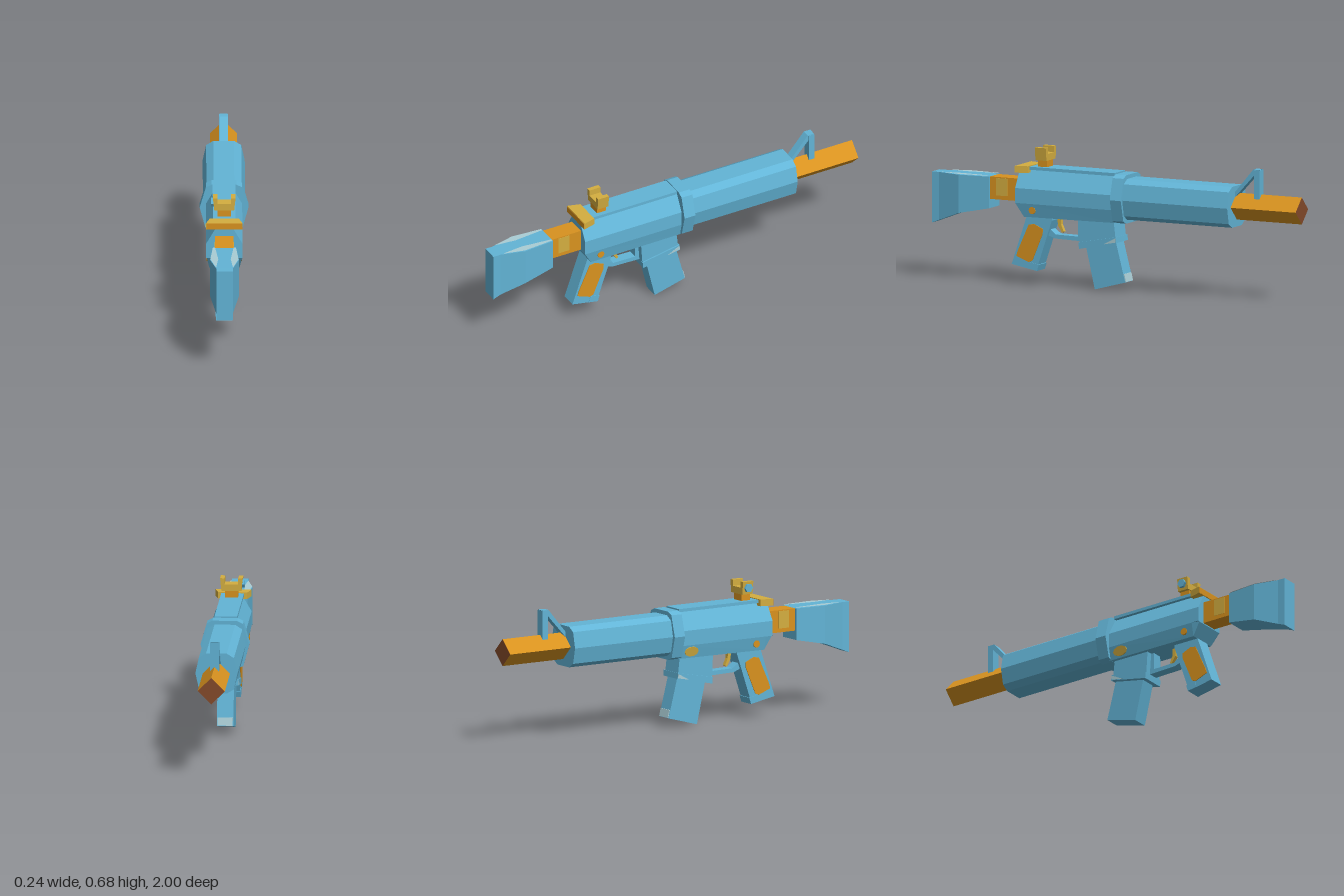
import * as THREE from 'three';

const mat = (name, color, side = THREE.FrontSide) => {
  const m = new THREE.MeshStandardMaterial({ color, flatShading: true, side });
  m.name = name;
  return m;
};

// Outline given as the +x half from bottom to top, mirrored to a closed loop
const mirrorLoop = (half) => [...half, ...half.map(([x, y]) => [-x, y]).reverse()];

// Skin between cross-sections { z, half }, ordered by rising z, with flat end caps
function loft(sections) {
  const rings = sections.map(({ z, half }) => mirrorLoop(half).map(([x, y]) => [x, y, z]));
  const pos = [];
  const tri = (a, b, c) => pos.push(...a, ...b, ...c);
  const n = rings[0].length;
  for (let s = 0; s < rings.length - 1; s++) {
    const a = rings[s], b = rings[s + 1];
    for (let i = 0; i < n; i++) {
      const j = (i + 1) % n;
      tri(a[i], a[j], b[j]);
      tri(a[i], b[j], b[i]);
    }
  }
  const first = rings[0], last = rings[rings.length - 1];
  for (let i = 1; i < n - 1; i++) {
    tri(first[0], first[i + 1], first[i]);
    tri(last[0], last[i], last[i + 1]);
  }
  const g = new THREE.BufferGeometry();
  g.setAttribute('position', new THREE.Float32BufferAttribute(pos, 3));
  g.computeVertexNormals();
  return g;
}

const shapeOf = (pts) => new THREE.Shape(pts.map(([a, b]) => new THREE.Vector2(a, b)));

// Side profile in (z, y), given a width centred on x = 0
function sideProfile(pts, width) {
  const g = new THREE.ExtrudeGeometry(shapeOf(pts), { depth: width, bevelEnabled: false });
  return g.translate(0, 0, -width / 2).rotateY(-Math.PI / 2);
}

// Front outline in (x, y), running from z0 to z1
function frontProfile(pts, z0, z1) {
  const g = new THREE.ExtrudeGeometry(shapeOf(pts), { depth: z1 - z0, bevelEnabled: false });
  return g.translate(0, 0, z0);
}

const box = (w, h, d, x, y, z) => new THREE.BoxGeometry(w, h, d).translate(x, y, z);

export function createModel() {
  const group = new THREE.Group();
  const blue = mat('blue', 0x62b4d6);
  const orange = mat('orange', 0xd8921f);
  const gold = mat('gold', 0xd4ae40);
  const pale = mat('paleBlue', 0xaacdd5, THREE.DoubleSide);
  const brown = mat('darkBrown', 0x844a2a);
  const add = (name, geometry, material) => {
    const m = new THREE.Mesh(geometry, material);
    m.name = name;
    group.add(m);
    return m;
  };

  // Stock, widest in the middle and narrowed to the butt
  const stockPart = (z, w, bottom, top) => ({ z, half: [[w, bottom], [w, top]] });
  add('stock', loft([
    stockPart(0.68, 0.057, 0.36, 0.515), stockPart(0.84, 0.07, 0.328, 0.516),
    stockPart(0.96, 0.04, 0.283, 0.517), stockPart(1.0, 0.04, 0.267, 0.517),
  ]), blue);
  for (const s of [-1, 1]) {
    const worn = shapeOf([[0.045, 0.685], [0.056, 0.685], [0.068, 0.84], [0.041, 0.95], [0.03, 0.84]]
      .map(([x, z]) => [s * x, z]));
    add('stockWear', new THREE.ShapeGeometry(worn).rotateX(Math.PI / 2).translate(0, 0.5195, 0), pale);
  }

  // Neck between stock and receiver
  add('neck', box(0.09, 0.11, 0.2, 0, 0.46, 0.6), orange);
  add('neckPatch', box(0.094, 0.085, 0.06, 0, 0.467, 0.615), gold);

  // Receiver with a cut-away lower rear corner, and its top rail
  const receiverHalf = (bw, by) => [[bw, by], [0.088, 0.402], [0.088, 0.475], [0.036, 0.565]];
  add('receiver', loft([
    { z: -0.02, half: receiverHalf(0.073, 0.338) },
    { z: 0.48, half: receiverHalf(0.073, 0.335) },
    { z: 0.52, half: receiverHalf(0.08, 0.4) },
  ]), blue);
  add('topRail', box(0.11, 0.015, 0.52, 0, 0.5715, 0.255), blue);
  add('receiverPin', new THREE.CylinderGeometry(0.018, 0.018, 0.17, 10)
    .rotateZ(Math.PI / 2).translate(0, 0.37, 0.43), orange);
  add('receiverPatch', new THREE.CylinderGeometry(0.025, 0.025, 0.008, 10)
    .rotateZ(Math.PI / 2).scale(1, 1, 1.6).rotateZ(0.2).translate(-0.081, 0.37, 0.05), gold);

  // Rear bar, wider at the back
  add('rearBar', loft([
    { z: 0.46, half: [[0.07, 0.55], [0.07, 0.583]] },
    { z: 0.523, half: [[0.088, 0.55], [0.088, 0.583]] },
  ]), gold);
  add('rearBarFace', box(0.174, 0.03, 0.004, 0, 0.5655, 0.523), orange);

  // Collar and faceted handguard
  add('collar', frontProfile(mirrorLoop(
    [[0.06, 0.337], [0.09, 0.35], [0.118, 0.455], [0.088, 0.56], [0.06, 0.574]]), -0.072, -0.012), blue);
  add('handguard', frontProfile(mirrorLoop(
    [[0.05, 0.355], [0.085, 0.377], [0.102, 0.455], [0.085, 0.533], [0.05, 0.555]]), -0.645, -0.06), blue);

  // Four-sided barrel standing on edge, with a dark muzzle
  add('barrel', new THREE.CylinderGeometry(0.066, 0.066, 0.4, 4)
    .rotateX(Math.PI / 2).translate(0, 0.455, -0.8), [orange, orange, brown]);

  // Front sight: upright post and sloping brace
  add('frontSightPost', box(0.044, 0.145, 0.03, 0, 0.568, -0.765), blue);
  add('frontSightBrace', sideProfile(
    [[-0.64, 0.495], [-0.64, 0.52], [-0.745, 0.643], [-0.78, 0.643], [-0.755, 0.62]], 0.04), blue);

  // U-shaped rear sight on its foot, with a side knob
  add('sightFoot', box(0.064, 0.045, 0.05, 0, 0.597, 0.4), orange);
  add('sightFork', frontProfile(mirrorLoop(
    [[0.048, 0.612], [0.055, 0.675], [0.033, 0.675], [0.033, 0.645]]), 0.37, 0.43), gold);
  add('sightKnob', new THREE.CylinderGeometry(0.022, 0.022, 0.02, 6)
    .rotateZ(Math.PI / 2).translate(-0.054, 0.644, 0.4), blue);

  // Grip, its base lip and side panels
  add('grip', sideProfile(
    [[0.478, 0.345], [0.564, 0.094], [0.43, 0.069], [0.345, 0.32], [0.345, 0.345]], 0.08), blue);
  add('gripLip', sideProfile(
    [[0.475, 0.078], [0.425, 0.069], [0.415, 0.1], [0.465, 0.11]], 0.084), blue);
  add('gripPanels', sideProfile(
    [[0.47, 0.293], [0.44, 0.298], [0.393, 0.277], [0.395, 0.25], [0.45, 0.118],
      [0.47, 0.11], [0.537, 0.136], [0.53, 0.16]], 0.087), orange);

  // Trigger and its guard
  add('triggerGuard', sideProfile(
    [[0.385, 0.275], [0.38, 0.248], [0.335, 0.232], [0.18, 0.228], [0.18, 0.34], [0.21, 0.34],
      [0.21, 0.25], [0.33, 0.252], [0.36, 0.275]], 0.05), blue);
  add('trigger', sideProfile(
    [[0.33, 0.34], [0.327, 0.295], [0.305, 0.26], [0.295, 0.266], [0.31, 0.3], [0.312, 0.34]], 0.02), gold);

  // Magazine well, its rim and the slanted magazine
  add('magazineWell', sideProfile(
    [[0.195, 0.35], [0.185, 0.205], [-0.012, 0.25], [0.0, 0.35]], 0.11), blue);
  add('magazineRim', sideProfile(
    [[0.188, 0.228], [0.185, 0.196], [-0.018, 0.238], [-0.015, 0.266]], 0.124), blue);
  add('rimWear', sideProfile(
    [[0.05, 0.228], [-0.016, 0.241], [-0.0145, 0.262], [0.0, 0.255]], 0.127), pale);
  add('magazine', sideProfile(
    [[0.163, 0.23], [0.11, 0.0], [-0.056, 0.045], [0.0, 0.26]], 0.08), blue);
  add('magazineWear', sideProfile(
    [[-0.05, 0.047], [-0.059, 0.047], [-0.05, 0.085], [-0.04, 0.085]], 0.074), pale);

  return group;
}
